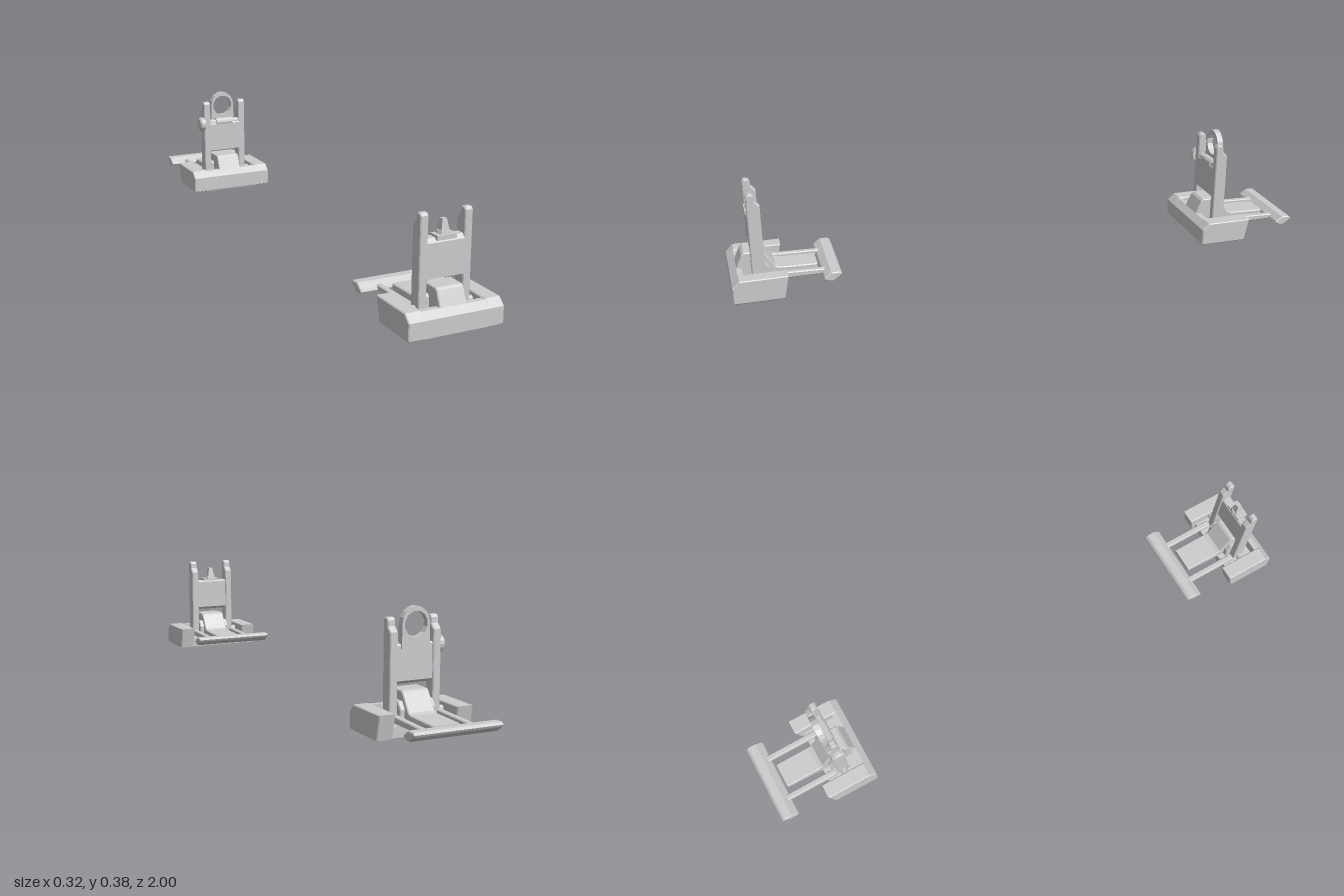
import * as THREE from 'three';

const material = new THREE.MeshStandardMaterial({ color: 0xcccccc, flatShading: true });

function add(parent, name, geometry) {
  const mesh = new THREE.Mesh(geometry, material);
  mesh.name = name;
  parent.add(mesh);
  return mesh;
}

// Extrudes a [z, y] side profile from x0 to x1 with a small chamfer
function side(points, x0, x1, bevel = 0.003) {
  const shape = new THREE.Shape(points.map(([z, y]) => new THREE.Vector2(z, y)));
  const geo = new THREE.ExtrudeGeometry(shape, {
    depth: x1 - x0 - 2 * bevel, bevelEnabled: bevel > 0, bevelSize: bevel,
    bevelThickness: bevel, bevelOffset: -bevel, bevelSegments: 1,
  });
  return geo.rotateY(-Math.PI / 2).translate(x1 - bevel, 0, 0);
}

function box(x0, x1, y0, y1, z0, z1) {
  return new THREE.BoxGeometry(x1 - x0, y1 - y0, z1 - z0)
    .translate((x0 + x1) / 2, (y0 + y1) / 2, (z0 + z1) / 2);
}

// Cylinder along x
function pin(radius, x0, x1, y, z, sides = 12, r2 = radius) {
  return new THREE.CylinderGeometry(radius, r2, x1 - x0, sides)
    .rotateZ(-Math.PI / 2).translate((x0 + x1) / 2, y, z);
}

// Clamp base, folding tower and rear latch; the front edge lies at z = 0
function createSightBody(name) {
  const sight = new THREE.Group();
  sight.name = name;

  // Base: floor, front rail, side arms, leaving wells for the tower legs
  add(sight, 'baseFloor', side([[-0.003, 0], [-0.003, 0.035], [-0.155, 0.035], [-0.155, 0]], -0.15, 0.15, 0));
  add(sight, 'baseFrontRail',
    side([[0, 0.004], [0, 0.056], [-0.022, 0.076], [-0.04, 0.076], [-0.04, 0.002], [-0.004, 0.002]], -0.13, 0.13, 0));
  for (const s of [-1, 1]) {
    const x = (a, b) => (s > 0 ? [a, b] : [-b, -a]);
    add(sight, 'baseArm', side(
      [[0, 0.003], [0, 0.056], [-0.024, 0.079], [-0.182, 0.079], [-0.165, 0], [-0.004, 0]], ...x(0.105, 0.158)));

    // Tower posts, stepped thinner at the back near the top
    add(sight, 'towerPost', side(
      [[-0.07, 0.04], [-0.07, 0.335], [-0.076, 0.343], [-0.09, 0.343], [-0.096, 0.335],
        [-0.097, 0.318], [-0.113, 0.302], [-0.113, 0.04]], ...x(0.06, 0.086)));
    add(sight, 'hingeLug', side(
      [[-0.08, 0.03], [-0.08, 0.09], [-0.088, 0.097], [-0.115, 0.097], [-0.13, 0.075], [-0.13, 0.03]],
      ...x(0.042, 0.06)));
    add(sight, 'latchRod', side(
      [[-0.12, 0.04], [-0.12, 0.062], [-0.32, 0.057], [-0.32, 0.04]], ...x(0.069, 0.089)));
  }
  add(sight, 'hingePin', pin(0.012, -0.11, 0.11, 0.055, -0.092));

  // Tower web with sloped top and bottom edges
  add(sight, 'towerWeb', side(
    [[-0.07, 0.146], [-0.07, 0.252], [-0.08, 0.265], [-0.104, 0.265], [-0.108, 0.26], [-0.108, 0.155], [-0.1, 0.146]],
    -0.064, 0.064, 0));

  // Central tongue with raised hump
  add(sight, 'tongue', side(
    [[-0.022, 0.03], [-0.022, 0.075], [-0.042, 0.12], [-0.05, 0.127], [-0.108, 0.127], [-0.115, 0.122],
      [-0.15, 0.068], [-0.165, 0.063], [-0.288, 0.06], [-0.288, 0.042], [-0.16, 0.03]], -0.045, 0.045));
  add(sight, 'latchHandle', side(
    [[-0.295, 0.044], [-0.298, 0.051], [-0.32, 0.067], [-0.347, 0.067], [-0.355, 0.06], [-0.351, 0.053],
      [-0.327, 0.036], [-0.31, 0.037]], -0.147, 0.147));
  return sight;
}

function createFrontSight() {
  const sight = createSightBody('frontSight');
  // Aiming post on its seat
  add(sight, 'postSeat', box(-0.032, 0.032, 0.258, 0.272, -0.105, -0.066));
  add(sight, 'postCollar', new THREE.CylinderGeometry(0.019, 0.022, 0.012, 8).translate(0, 0.276, -0.09));
  add(sight, 'aimingPost', new THREE.CylinderGeometry(0.009, 0.019, 0.046, 4)
    .rotateY(Math.PI / 4).scale(1.15, 1, 1.15).translate(0, 0.292, -0.09));
  return sight;
}

function createRearSight() {
  const sight = createSightBody('rearSight');
  // Peep ring with a straight-sided stem
  const outline = new THREE.Shape();
  outline.moveTo(-0.047, 0.25);
  outline.lineTo(0.047, 0.25);
  const arc = (i, n, rx, ry) => [rx * Math.cos((i / n) * Math.PI), 0.322 + ry * Math.sin((i / n) * Math.PI)];
  for (let i = 0; i <= 8; i++) outline.lineTo(...arc(i, 8, 0.047, 0.053));
  outline.closePath();
  const hole = new THREE.Path();
  for (let i = 0; i < 12; i++) {
    const p = arc(i + 0.5, 6, 0.039, 0.039);
    if (i === 0) hole.moveTo(...p); else hole.lineTo(...p);
  }
  hole.closePath();
  outline.holes.push(hole);
  add(sight, 'peepRing', new THREE.ExtrudeGeometry(outline, { depth: 0.021, bevelEnabled: false })
    .translate(0, 0, -0.113));

  // Windage spindle and side knob
  add(sight, 'windageSpindle', pin(0.011, -0.09, 0.064, 0.258, -0.084));
  add(sight, 'windageSleeve', pin(0.016, -0.034, 0.034, 0.258, -0.084));
  add(sight, 'windageKnob', pin(0.027, -0.098, -0.084, 0.255, -0.085, 16));
  add(sight, 'windageKnobCap', pin(0.027, -0.104, -0.098, 0.255, -0.085, 16, 0.021));
  return sight;
}

export function createModel() {
  const model = new THREE.Group();
  model.name = 'foldingSights';
  const front = createFrontSight();
  front.position.z = 1;
  const rear = createRearSight();
  rear.position.z = -0.645;
  model.add(front, rear);
  return model;
}
